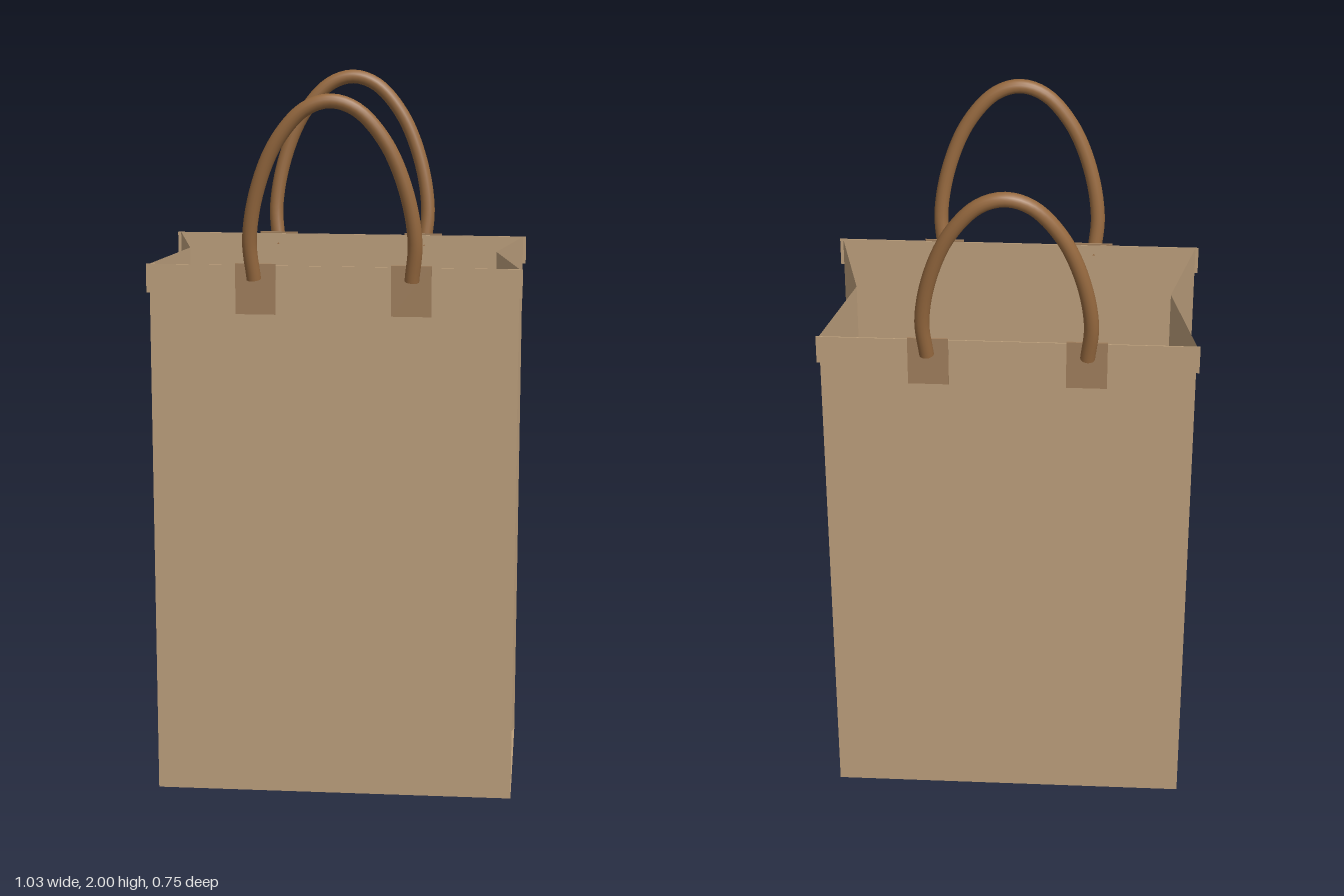
import * as THREE from 'three';

const W = 0.505, D = 0.283, H = 1.525, FOLD = 0.07;
const paper = new THREE.MeshStandardMaterial({ color: 0xbc9f7c, side: THREE.DoubleSide });
const patchMat = new THREE.MeshStandardMaterial({ color: 0xa07f5d });
const cordMat = new THREE.MeshStandardMaterial({ color: 0x96693f });

function add(parent, name, geometry, material, x = 0, y = 0, z = 0) {
  const mesh = new THREE.Mesh(geometry, material);
  mesh.name = name;
  mesh.position.set(x, y, z);
  parent.add(mesh);
  return mesh;
}

// Upright sheet following a floor-plan line from a to b
function sheet(parent, name, a, b) {
  const length = Math.hypot(b[0] - a[0], b[1] - a[1]);
  const mesh = add(parent, name, new THREE.PlaneGeometry(length, H), paper,
    (a[0] + b[0]) / 2, H / 2, (a[1] + b[1]) / 2);
  mesh.rotation.y = -Math.atan2(b[1] - a[1], b[0] - a[0]);
}

// Front half of the details: hem, patches and handle
function panelTrim(name) {
  const g = new THREE.Group();
  g.name = name;
  add(g, 'hem', new THREE.BoxGeometry(1.028, 0.08, 0.003), paper, 0, H - 0.04, D + 0.0015);
  for (const s of [-1, 1]) {
    add(g, 'handlePatch', new THREE.BoxGeometry(0.11, 0.14, 0.005), patchMat, s * 0.213, 1.46, D + 0.0035);
  }

  // Arched cord leaning outwards
  const half = [[0.215, 1.49, 0.302], [0.224, 1.6, 0.319], [0.2, 1.74, 0.335],
    [0.146, 1.87, 0.347], [0.07, 1.957, 0.354]];
  const points = [
    ...half.map(([x, y, z]) => new THREE.Vector3(-x, y, z)),
    new THREE.Vector3(0, 1.98, 0.356),
    ...half.slice().reverse().map(p => new THREE.Vector3(...p)),
  ];
  const path = new THREE.CatmullRomCurve3(points);
  add(g, 'handle', new THREE.TubeGeometry(path, 64, 0.02, 16), cordMat);
  for (const t of [0, 1]) {
    const p = path.getPointAt(t);
    const out = path.getTangentAt(t).multiplyScalar(t ? 1 : -1);
    const cap = add(g, 'handleEnd', new THREE.CircleGeometry(0.02, 16), cordMat, p.x, p.y, p.z);
    cap.lookAt(p.clone().add(out));
  }
  return g;
}

export function createModel() {
  const bag = new THREE.Group();
  bag.name = 'paperBag';

  // Flat base
  const base = add(bag, 'base', new THREE.PlaneGeometry(2 * W, 2 * D), paper, 0, 0.001, 0);
  base.rotation.x = Math.PI / 2;

  // Large panels and inward-folded side gussets
  sheet(bag, 'frontPanel', [-W, D], [W, D]);
  sheet(bag, 'backPanel', [W, -D], [-W, -D]);
  for (const s of [-1, 1]) {
    const side = s > 0 ? 'left' : 'right';
    sheet(bag, side + 'FrontGusset', [s * W, s * D], [s * (W - FOLD), 0]);
    sheet(bag, side + 'BackGusset', [s * (W - FOLD), 0], [s * W, -s * D]);
  }

  const front = panelTrim('frontTrim');
  const back = panelTrim('backTrim');
  back.rotation.y = Math.PI;
  bag.add(front, back);
  return bag;
}
